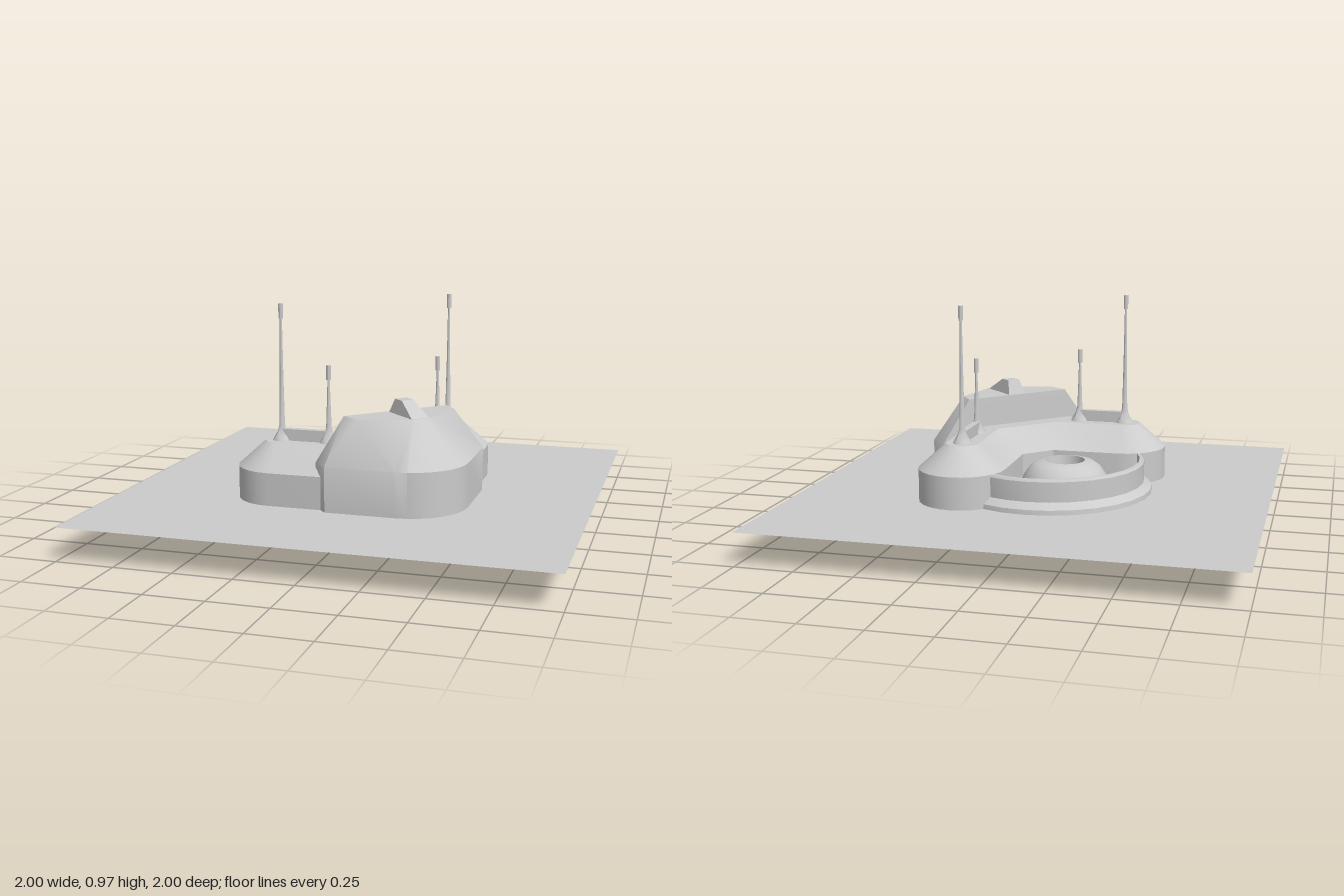
import * as THREE from 'three';
import { toCreasedNormals } from 'three/addons/utils/BufferGeometryUtils.js';

const grey = new THREE.MeshStandardMaterial({ color: 0xcccccc, side: THREE.DoubleSide });
const GROUND = 0.14;

function add(parent, name, geometry, crease = 0.6) {
  const mesh = new THREE.Mesh(toCreasedNormals(geometry, crease), grey);
  mesh.name = name;
  parent.add(mesh);
  return mesh;
}

// The plan is symmetric about the diagonal x = z: append the swapped half.
const mirrored = (half) => [...half, ...half.map(([x, z]) => [z, x]).reverse()];

// Skin between stacked outlines, each { y, pts: [[x, z], ...] }.
function loft(rings, closed) {
  const n = rings[0].pts.length, pos = [], idx = [];
  rings.forEach(({ y, pts }) => pts.forEach(([x, z]) => pos.push(x, y, z)));
  for (let i = 0; i < rings.length - 1; i++) {
    for (let j = 0; j < (closed ? n : n - 1); j++) {
      const a = i * n + j, b = i * n + (j + 1) % n;
      idx.push(a, a + n, b + n, a, b + n, b);
    }
  }
  const g = new THREE.BufferGeometry();
  g.setAttribute('position', new THREE.Float32BufferAttribute(pos, 3));
  g.setIndex(idx);
  return g;
}

// Flat horizontal face filling an outline.
function cap(pts, y) {
  const shape = new THREE.Shape(pts.map(([x, z]) => new THREE.Vector2(x, -z)));
  return new THREE.ShapeGeometry(shape).rotateX(-Math.PI / 2).translate(0, y, 0);
}

const lathe = (profile, segments) =>
  new THREE.LatheGeometry(profile.map(([r, y]) => new THREE.Vector2(r, y)), segments);

// Outline of the two round-ended wings for a given half width, open at the outer corner.
function wingOutline(h) {
  const half = [[0.25, 0.28 + h]];
  for (let i = 0; i <= 12; i++) {
    const a = Math.PI / 2 + (Math.PI * i) / 12;
    half.push([-0.31 + h * Math.cos(a), 0.28 + h * Math.sin(a)]);
  }
  half.push([-0.02 + (0.1875 - h) * 0.17, 0.28 - h]);
  return mirrored(half);
}

function antenna(name, x, z, top) {
  const g = new THREE.Group();
  g.name = name;
  add(g, 'mast', lathe([[0.043, 0.38], [0.036, 0.395], [0.02, 0.42], [0.012, 0.45],
    [0.008, 0.45 + (top - 0.45) * 0.4], [0.005, top - 0.06]], 12), 1);
  add(g, 'tip', new THREE.CylinderGeometry(0.01, 0.01, 0.062, 10).translate(0, top - 0.031, 0));
  g.position.set(x, 0, z);
  return g;
}

export function createModel() {
  const model = new THREE.Group();
  model.name = 'outpost';

  // Ground sheet; the wing walls reach below it
  add(model, 'ground', new THREE.PlaneGeometry(2, 2).rotateX(-Math.PI / 2).translate(0, GROUND, 0));

  // L-shaped wings with sloping roof
  const wings = new THREE.Group();
  wings.name = 'wings';
  const eave = wingOutline(0.1875), ridge = wingOutline(0.07);
  add(wings, 'wingWalls', loft([{ y: 0, pts: eave }, { y: 0.28, pts: eave }, { y: 0.385, pts: ridge }], false));
  add(wings, 'wingRoof', cap(ridge, 0.385));
  model.add(wings);

  // Hood wrapped around the outer corner
  const hood = new THREE.Group();
  hood.name = 'cornerHood';
  const lower = [[-0.11, 0.43], [-0.05, 0.497], [0.25, 0.497]];
  const upper = [[-0.015, 0.34], [0.055, 0.39], [0.28, 0.34]];
  for (let i = 1; i <= 4; i++) {
    const a = Math.PI / 2 - (Math.PI / 4) * (i / 4);
    lower.push([0.25 + 0.247 * Math.cos(a), 0.25 + 0.247 * Math.sin(a)]);
    upper.push([0.28 + 0.03 * (i / 4), 0.34 - 0.03 * (i / 4)]);
  }
  const base = mirrored(lower).reverse(), top = mirrored(upper).reverse();
  add(hood, 'hoodShell', loft([{ y: GROUND, pts: base }, { y: 0.33, pts: base }, { y: 0.515, pts: top }], true), 0.7);
  add(hood, 'hoodTop', cap(top, 0.515));

  // Tapered fin on the hood, along the diagonal
  const finBase = mirrored([[0.14, 0.2], [0.28, 0.34]]).reverse();
  const finTop = mirrored([[0.17, 0.21], [0.21, 0.25]]).reverse();
  add(hood, 'finSides', loft([{ y: 0.51, pts: finBase }, { y: 0.575, pts: finTop }], true), 0.3);
  add(hood, 'finTop', cap(finTop, 0.575));
  model.add(hood);

  // Round courtyard wall with a sloping footing
  add(model, 'courtyardWall', lathe([[0.447, GROUND], [0.445, 0.16], [0.412, 0.185], [0.412, 0.27],
    [0.405, 0.28], [0.392, 0.28], [0.392, GROUND]], 28)).position.set(-0.04, 0, -0.04);

  // Dome with a sunken opening
  add(model, 'dome', lathe([[0.2, GROUND], [0.195, 0.18], [0.18, 0.225], [0.155, 0.262], [0.125, 0.284],
    [0.085, 0.292], [0.075, 0.21], [0, 0.2]], 28), 0.7).position.set(-0.125, 0, -0.125);

  // Antenna pairs joined by a low bar, one pair per wing
  for (const swap of [false, true]) {
    const at = (x, z) => (swap ? [z, x] : [x, z]);
    const side = swap ? 'left' : 'right';
    model.add(antenna(side + 'TallAntenna', ...at(-0.31, 0.28), 0.968));
    model.add(antenna(side + 'ShortAntenna', ...at(-0.1, 0.28), 0.715));
    const [bx, bz] = at(-0.205, 0.28), [w, d] = at(0.21, 0.03);
    add(model, side + 'AntennaBar', new THREE.BoxGeometry(w, 0.055, d)).position.set(bx, 0.4075, bz);
  }
  return model;
}
